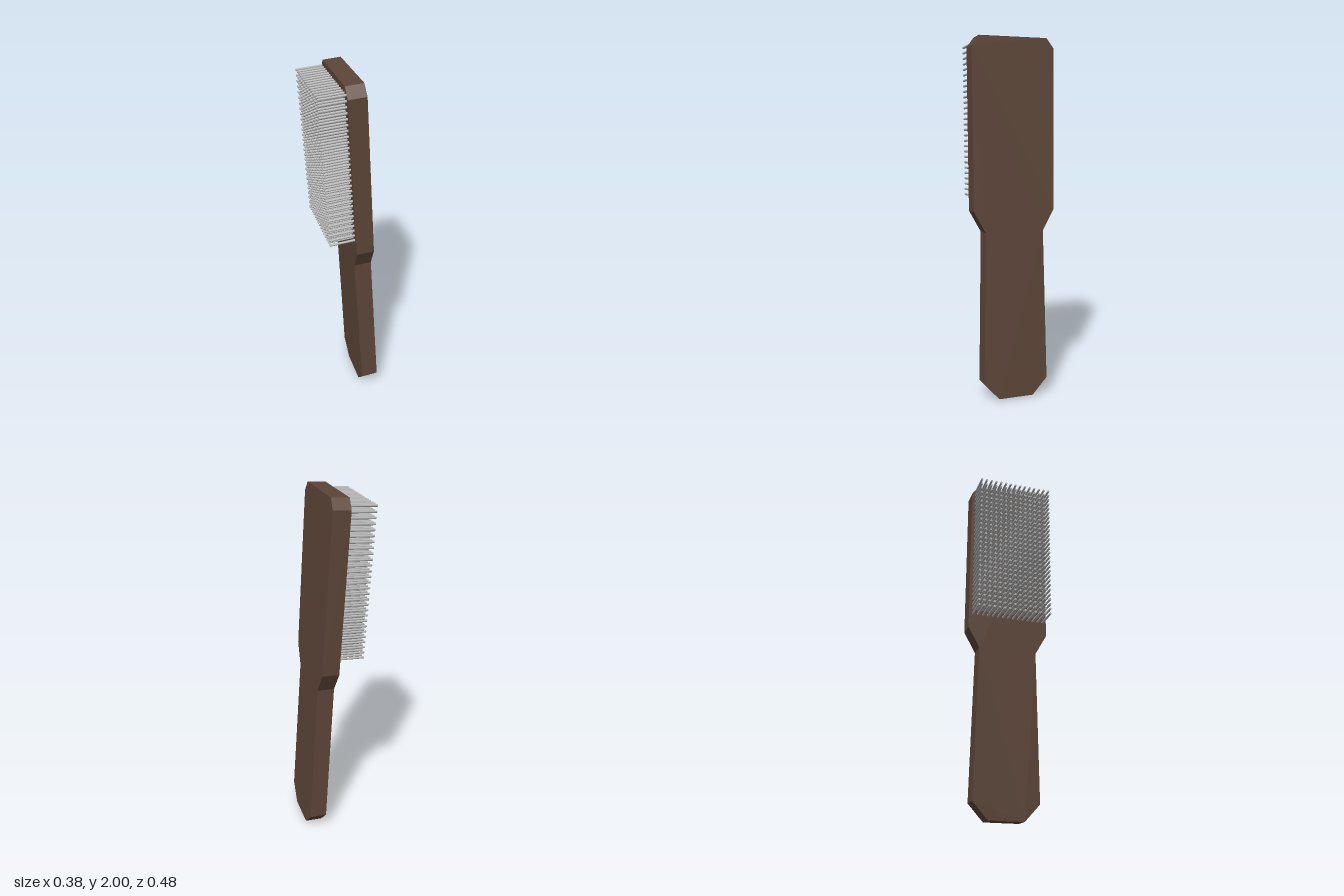
import * as THREE from 'three';
import { mergeGeometries } from 'three/addons/utils/BufferGeometryUtils.js';

export function createModel() {
  const wood = new THREE.MeshStandardMaterial({ name: 'brown wood', color: 0x5d4538 });
  const wire = new THREE.MeshStandardMaterial({ name: 'grey wire', color: 0xb4b4b4 });

  const model = new THREE.Group();
  model.name = 'brush';
  const thickness = 0.096;

  // Paddle: half outline (half width, height) mirrored and extruded
  const half = [[0.1, 0], [0.186, 0.094], [0.167, 0.94], [0.233, 1.058], [0.233, 1.94], [0.193, 1.993]];
  const outline = [...half, ...half.map(([w, h]) => [-w, h]).reverse()];
  const shape = new THREE.Shape(outline.map(([w, h]) => new THREE.Vector2(w, h)));
  const body = new THREE.ExtrudeGeometry(shape, { depth: thickness, bevelEnabled: false });
  body.translate(0, 0, -thickness / 2);
  body.rotateY(-Math.PI / 2);
  const paddle = new THREE.Mesh(body, wood);
  paddle.name = 'paddle';
  model.add(paddle);

  // Bristles: a regular grid of thin rods on the -x face
  const columns = 15, rows = 28, length = 0.142;
  const rod = new THREE.CylinderGeometry(0.0066, 0.0066, length, 8);
  rod.rotateZ(Math.PI / 2);
  const rods = [];
  for (let r = 0; r < rows; r++) {
    for (let c = 0; c < columns; c++) {
      const y = 1.141 + (r / (rows - 1)) * 0.816;
      const z = -0.21 + (c / (columns - 1)) * 0.42;
      rods.push(rod.clone().translate(-thickness / 2 - length / 2 + 0.002, y, z));
    }
  }
  const bristles = new THREE.Mesh(mergeGeometries(rods), wire);
  bristles.name = 'bristles';
  model.add(bristles);

  // Slight lean of the whole brush
  const up = new THREE.Vector3(-0.0615, 1, -0.0065).normalize();
  const out = new THREE.Vector3(1, 0.061, -0.09);
  out.addScaledVector(up, -out.dot(up)).normalize();
  const side = new THREE.Vector3().crossVectors(out, up);
  model.quaternion.setFromRotationMatrix(new THREE.Matrix4().makeBasis(out, up, side));
  model.position.set(0.13, 0.005, 0.01);

  const root = new THREE.Group();
  root.name = 'leaningBrush';
  root.add(model);
  return root;
}
